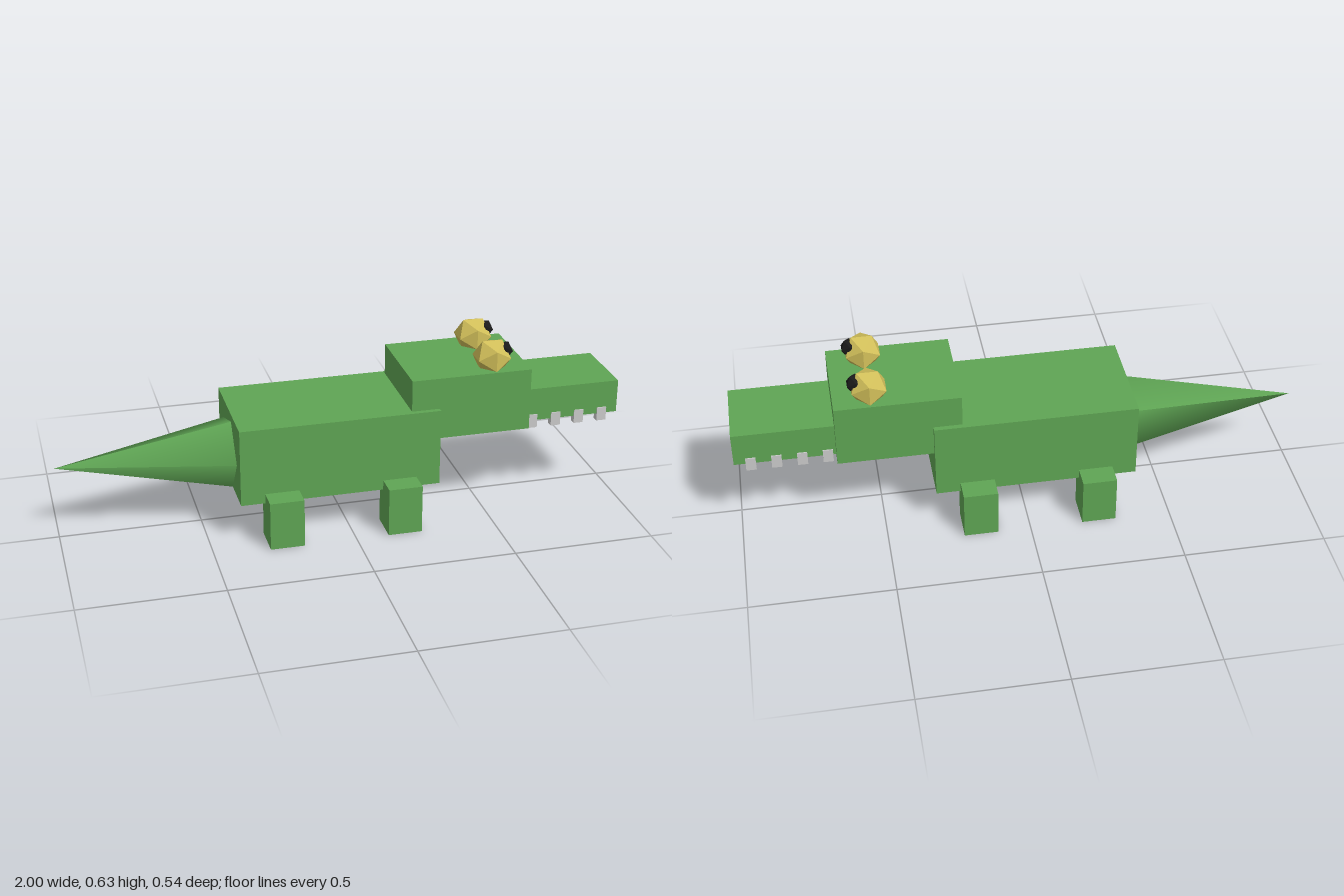
import * as THREE from 'three';

export function createModel() {
  const group = new THREE.Group();
  const mat = (name, color) => {
    const m = new THREE.MeshStandardMaterial({ color });
    m.name = name;
    return m;
  };
  const green = mat('skin green', 0x5fa554);
  const yellow = mat('eye yellow', 0xd2c05a);
  const black = mat('pupil black', 0x1a1a1a);
  const white = mat('tooth grey', 0xcccccc);
  yellow.flatShading = black.flatShading = true;

  const add = (name, geometry, material, x, y, z) => {
    const mesh = new THREE.Mesh(geometry, material);
    mesh.name = name;
    mesh.position.set(x, y, z);
    group.add(mesh);
    return mesh;
  };
  // Box given by its extents along x and y, and its centre and width in z
  const box = (name, material, x0, x1, y0, y1, z, width) =>
    add(name, new THREE.BoxGeometry(x1 - x0, y1 - y0, width), material, (x0 + x1) / 2, (y0 + y1) / 2, z);

  // Trunk, head and snout
  box('body', green, -0.39, 0.32, 0.14, 0.419, 0, 0.384);
  box('head', green, 0.22, 0.652, 0.306, 0.532, 0, 0.348);
  box('snout', green, 0.6, 1.0, 0.315, 0.436, 0, 0.263);

  // Five-sided tapering tail, its base sunk into the body
  const tail = add('tail', new THREE.ConeGeometry(0.159, 0.735, 5), green, -0.6325, 0.265, 0);
  tail.rotation.z = Math.PI / 2;

  for (const [side, s] of [['left', 1], ['right', -1]]) {
    // Legs
    for (const [end, x] of [['rear', -0.245], ['front', 0.175]]) {
      box(`${end} leg ${side}`, green, x - 0.06, x + 0.06, 0, 0.175, s * 0.21, 0.121);
    }
    // Teeth along the jaw edge
    for (let i = 0; i < 4; i++) {
      const x = 0.68 + i * 0.0875;
      box(`tooth ${side}`, white, x - 0.0175, x + 0.0175, 0.288, 0.338, s * 0.123, 0.025);
    }
    // Eyes with forward-looking pupils
    add(`eye ${side}`, new THREE.IcosahedronGeometry(0.069, 0), yellow, 0.527, 0.567, s * 0.105);
    add(`pupil ${side}`, new THREE.IcosahedronGeometry(0.035, 0), black, 0.568, 0.586, s * 0.105);
  }
  return group;
}
